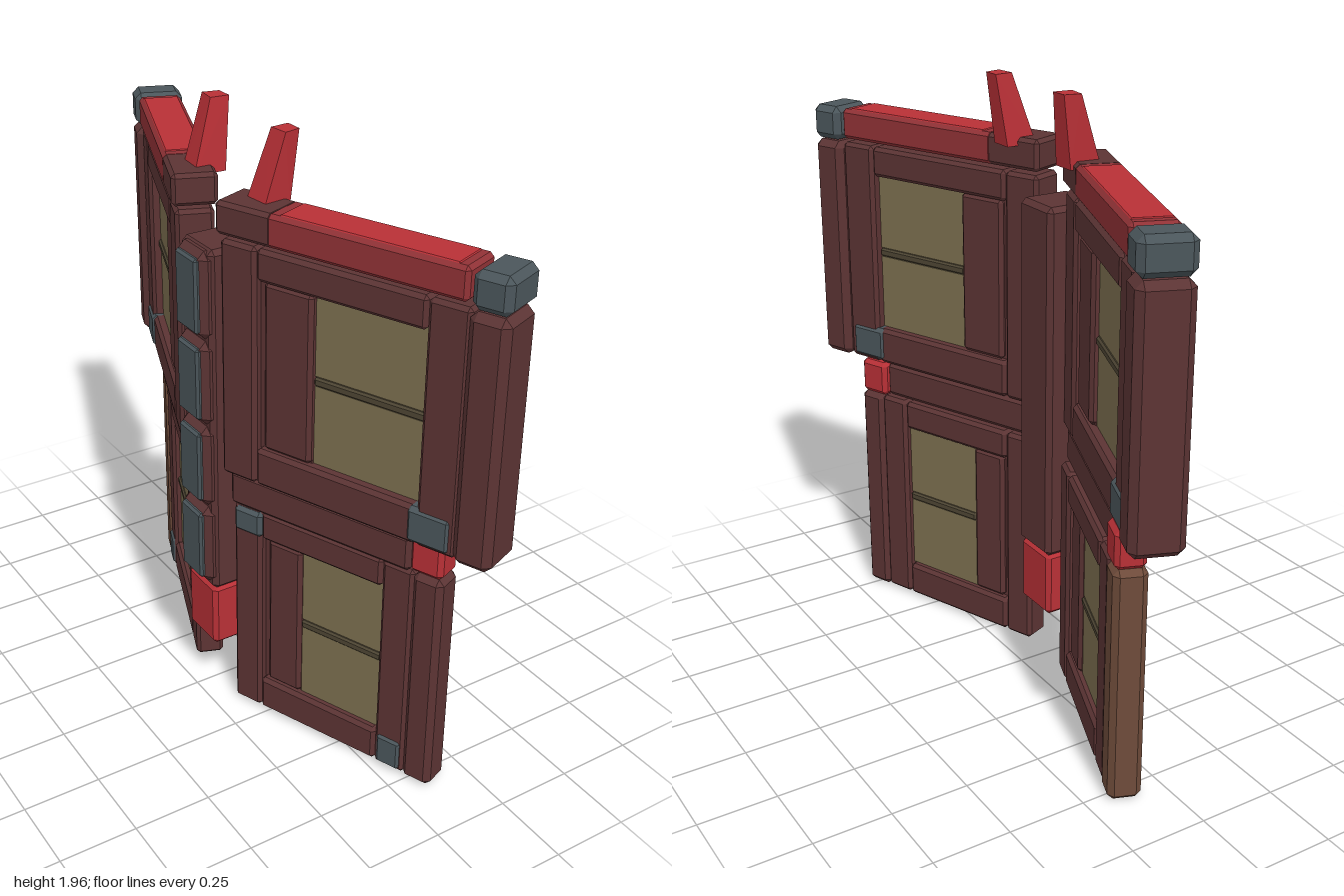
import * as THREE from 'three';
import { ConvexGeometry } from 'three/addons/geometries/ConvexGeometry.js';

const paint = (color) => new THREE.MeshStandardMaterial({ color, flatShading: true });
const maroon = paint(0x5c3434);
const red = paint(0xb83036);
const warm = paint(0x913236);
const grey = paint(0x4b565b);
const brown = paint(0x6e4b3a);
const glass = paint(0x7d7050);
const sill = paint(0x4f4634);

// Box from min/max corners with all its edges cut by c
function block(parent, name, mat, [x0, x1], [y0, y1], [z0, z1], c = 0.012) {
  const h = [(x1 - x0) / 2, (y1 - y0) / 2, Math.abs(z1 - z0) / 2];
  const pts = [];
  for (const sx of [-1, 1]) for (const sy of [-1, 1]) for (const sz of [-1, 1]) {
    for (let axis = 0; axis < 3; axis++) {
      const p = h.map((v, i) => (i === axis ? v : v - c));
      pts.push(new THREE.Vector3(sx * p[0], sy * p[1], sz * p[2]));
    }
  }
  const mesh = new THREE.Mesh(new ConvexGeometry(pts), mat);
  mesh.position.set((x0 + x1) / 2, (y0 + y1) / 2, (z0 + z1) / 2);
  mesh.name = name;
  parent.add(mesh);
  return mesh;
}

// Framed window panel; s = [inner, stile, plank, window, outer] distances along the wing
function panel(parent, prefix, sg, o) {
  const add = (name, mat, t, y, s, c) =>
    block(parent, prefix + name, mat, t, y, [s[0] * sg, s[1] * sg], c);
  const [s0, s1, s2, s3, s4] = o.s;
  const [y0, y1, y2, y3] = o.y;
  const [t0, t1] = o.t;
  const inset = (d) => [t0 + d, t1 - d];
  const mid = (y1 + y2) / 2;

  // Frame
  add('InnerStile', maroon, o.t, [y0, y3], [s0, s1]);
  add('OuterStile', maroon, o.t, [y0, y3], [s3, s4]);
  add('BottomRail', maroon, o.t, [y0, y1], [s1, s3]);
  add('TopRail', maroon, o.t, [y2, y3], [s1, s3]);

  // Recessed plank and its shallow backing
  add('PlankBacking', maroon, inset(0.03), [y1 - 0.01, y2 + 0.01], [s1 - 0.01, s2], 0.003);
  add('Plank', maroon, inset(0.012), [y1, y2], [s1 + 0.02, s2]);

  // Two panes and the bar between them
  add('LowerPane', glass, inset(o.pane), [y1 - 0.01, mid - 0.006], [s2 - 0.01, s3 + 0.01], 0.01);
  add('UpperPane', glass, inset(o.pane), [mid + 0.006, y2 + 0.01], [s2 - 0.01, s3 + 0.01], 0.01);
  add('WindowBar', sill, inset(o.pane - 0.008), [mid - 0.014, mid + 0.014], [s2, s3], 0.006);
  return add;
}

function wing(sg) {
  const g = new THREE.Group();
  g.name = sg > 0 ? 'frontWing' : 'backWing';
  g.position.set(-0.165, 0, 0.095 * sg);
  g.rotation.y = 0.374 * sg;

  // Upper panel with its edge pillar and corner
  const upper = panel(g, 'upper', sg, {
    s: [0.01, 0.137, 0.325, 0.695, 0.825], y: [0.885, 1.01, 1.55, 1.65], t: [-0.06, 0.06], pane: 0.035,
  });
  upper('Pillar', maroon, [-0.08, 0.08], [0.885, 1.65], [0.82, 0.942], 0.022);
  upper('Corner', grey, [-0.067, 0.067], [0.892, 1.01], [0.665, 0.81], 0.014);

  // Top beam, inner end darker, with an end cap
  upper('BeamInner', maroon, [-0.07, 0.07], [1.665, 1.765], [0, 0.2], 0.012);
  upper('BeamMiddle', warm, [-0.07, 0.07], [1.665, 1.765], [0.18, 0.815], 0.012);
  upper('BeamTop', red, [-0.058, 0.058], [1.75, 1.768], [0.22, 0.78], 0.003);
  upper('EndCap', grey, [-0.08, 0.08], [1.655, 1.767], [0.825, 0.942], 0.02);

  // Connecting beam between the panels
  upper('LinkBeam', maroon, [-0.035, 0.05], [0.765, 0.885], [0.02, 0.67], 0.014);
  upper('LinkBlock', red, [-0.022, 0.072], [0.765, 0.885], [0.66, 0.77], 0.014);

  // Lower panel with its edge pillar and corners
  const lower = panel(g, 'lower', sg, {
    s: [0.025, 0.13, 0.276, 0.572, 0.68], y: [0.005, 0.125, 0.665, 0.765], t: [-0.022, 0.07], pane: 0.026,
  });
  lower('Pillar', sg > 0 ? maroon : brown, [-0.027, 0.075], [0, 0.765], [0.675, 0.775], 0.018);
  lower('TopCorner', grey, [-0.03, 0.02], [0.67, 0.758], [0.03, 0.135]);
  lower('BottomCorner', grey, [-0.03, 0.02], [0.012, 0.125], [0.58, 0.67]);
  return g;
}

// Leaning, tapered horn on the beam
function horn(sg) {
  const rings = [
    [1.74, -0.14, -0.035, 0.142, 0.226],
    [1.96, -0.068, -0.008, 0.165, 0.228],
  ];
  const pts = [];
  for (const [y, x0, x1, z0, z1] of rings) {
    pts.push(new THREE.Vector3(x0, y, z0 * sg), new THREE.Vector3(x1, y, (z0 - 0.006) * sg),
      new THREE.Vector3(x0 + 0.008, y, z1 * sg), new THREE.Vector3(x1, y, (z1 - 0.012) * sg));
  }
  const mesh = new THREE.Mesh(new ConvexGeometry(pts), red);
  mesh.name = 'horn';
  return mesh;
}

export function createModel() {
  const model = new THREE.Group();
  model.name = 'hingedWindowWings';
  for (const sg of [1, -1]) model.add(wing(sg), horn(sg));

  // Central spine, its foot and the plates along its back
  const spine = new THREE.Group();
  spine.name = 'spine';
  model.add(spine);
  block(spine, 'spinePost', maroon, [-0.225, -0.045], [0.42, 1.595], [-0.088, 0.088], 0.016);
  block(spine, 'spineFoot', red, [-0.225, -0.05], [0.2, 0.425], [-0.084, 0.084], 0.014);
  for (let i = 0; i < 4; i++) {
    const y = 0.445 + i * 0.288;
    block(spine, 'spineSegment', maroon, [-0.25, -0.17], [y, y + 0.28], [-0.08, 0.08], 0.024);
    block(spine, 'spinePlate', grey, [-0.26, -0.235], [y + 0.02, y + 0.26], [-0.06, 0.06], 0.008);
  }
  return model;
}
